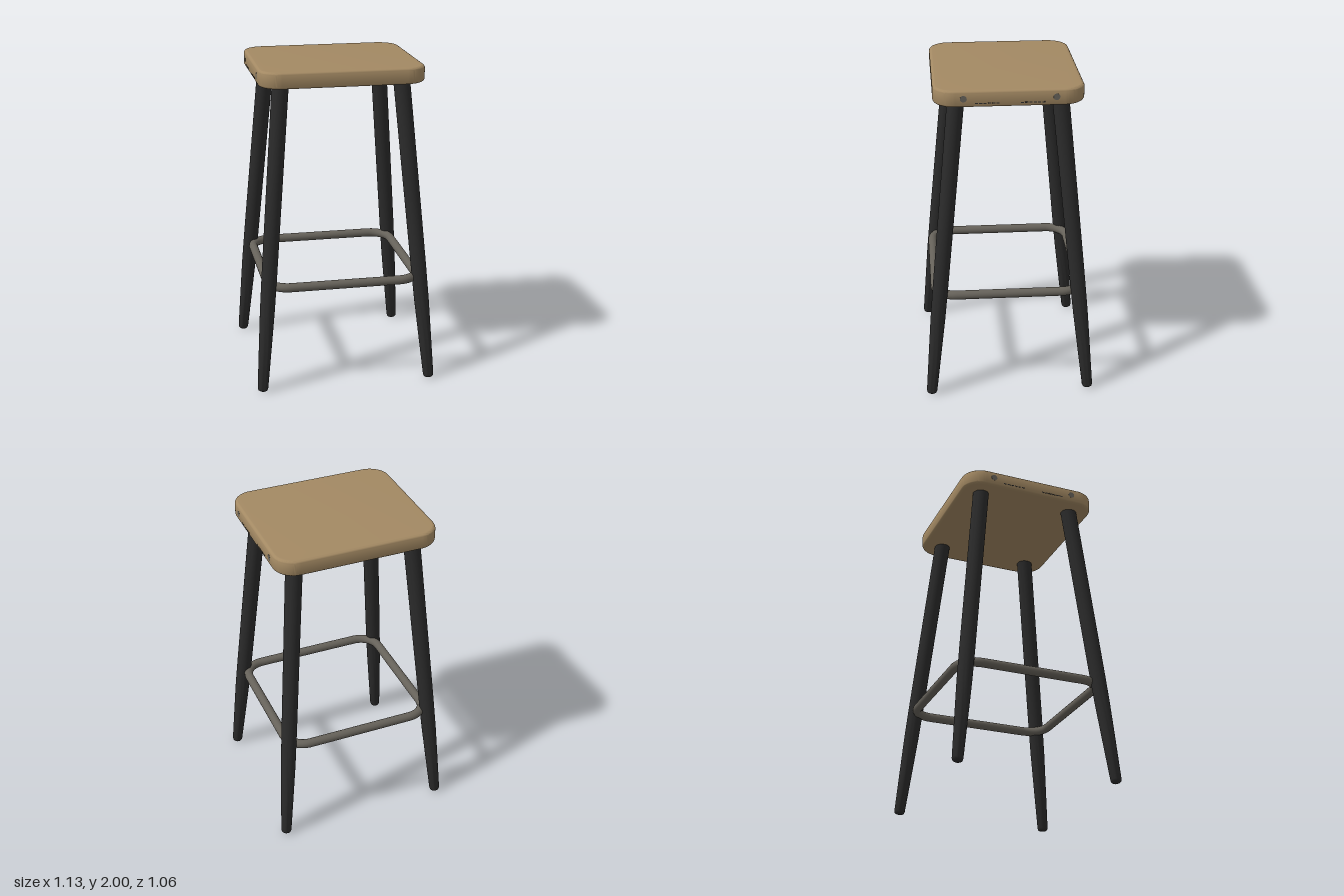
import * as THREE from 'three';
import { toCreasedNormals } from 'three/addons/utils/BufferGeometryUtils.js';

const mat = (name, color) => {
  const m = new THREE.MeshStandardMaterial({ color });
  m.name = name;
  return m;
};

// Rounded rectangle outline with half sizes a, b and corner radius r
function roundedRect(a, b, r) {
  const s = new THREE.Shape();
  s.absarc(a - r, b - r, r, 0, Math.PI / 2);
  s.absarc(-a + r, b - r, r, Math.PI / 2, Math.PI);
  s.absarc(-a + r, -b + r, r, Math.PI, Math.PI * 1.5);
  s.absarc(a - r, -b + r, r, Math.PI * 1.5, Math.PI * 2);
  s.closePath();
  return s;
}

export function createModel() {
  const wood = mat('wood', 0xa38963);
  const black = mat('black', 0x2b2b2b);
  const metal = mat('metal', 0x66625a);
  const group = new THREE.Group();
  const add = (name, geometry, material) => {
    const mesh = new THREE.Mesh(geometry, material);
    mesh.name = name;
    group.add(mesh);
    return mesh;
  };

  // Seat: rounded slab with softened edges
  const bevel = 0.02;
  const seat = new THREE.ExtrudeGeometry(roundedRect(0.507 - bevel, 0.446 - bevel, 0.13 - bevel), {
    depth: 0.1 - 2 * bevel, bevelThickness: bevel, bevelSize: bevel, bevelSegments: 5, curveSegments: 14,
  });
  seat.rotateX(-Math.PI / 2).translate(0, 1.9 + bevel, 0);
  add('seat', toCreasedNormals(seat, 0.7), wood);

  // Splayed legs, tapering towards rounded feet
  const up = new THREE.Vector3(0, 1, 0);
  const profile = [
    [0, 0], [0.02, 0.001], [0.029, 0.007], [0.033, 0.02], [0.04, 0.28],
    [0.046, 0.52], [0.048, 0.75], [0.051, 1.92], [0, 1.92],
  ].map(([x, y]) => new THREE.Vector2(x, y));
  const legGeometry = toCreasedNormals(new THREE.LatheGeometry(profile, 28).toNonIndexed(), 0.8);
  for (const sx of [1, -1]) {
    for (const sz of [1, -1]) {
      const foot = new THREE.Vector3(0.535 * sx, 0.003, 0.498 * sz);
      const top = new THREE.Vector3(0.371 * sx, 1.9, 0.31 * sz);
      const leg = add(`${sz > 0 ? 'front' : 'back'}${sx > 0 ? 'Left' : 'Right'}Leg`, legGeometry, black);
      leg.position.copy(foot);
      leg.quaternion.setFromUnitVectors(up, top.sub(foot).normalize());
    }
  }

  // Footrest: one closed rod with rounded corners
  const path = new THREE.CurvePath();
  const a = 0.472, b = 0.457, r = 0.13;
  const corners = [[a, b], [-a, b], [-a, -b], [a, -b]].map(([x, z]) => new THREE.Vector3(x, 0.665, z));
  corners.forEach((c, i) => {
    const toward = (to) => c.clone().add(to.clone().sub(c).setLength(r));
    const prev = corners[(i + 3) % 4], next = corners[(i + 1) % 4];
    const start = toward(prev), end = toward(next);
    const k = 0.5523;
    path.add(new THREE.CubicBezierCurve3(start, start.clone().lerp(c, k), end.clone().lerp(c, k), end));
    path.add(new THREE.LineCurve3(end, next.clone().add(c.clone().sub(next).setLength(r))));
  });
  add('footrest', new THREE.TubeGeometry(path, 160, 0.028, 16, true), metal);

  // Small worn marks on both side edges of the seat
  for (const side of [1, -1]) {
    for (const end of [1, -1]) {
      const spot = add('edgeSpot', new THREE.CylinderGeometry(0.02, 0.02, 0.004, 14), metal);
      spot.rotation.z = Math.PI / 2;
      spot.scale.y = 1;
      spot.position.set(0.506 * side, 1.953, 0.27 * end);
      for (let i = 0; i < 6; i++) {
        const dash = add('edgeDash', new THREE.BoxGeometry(0.004, 0.006, 0.018), black);
        dash.position.set(0.506 * side, 1.925, end * (0.07 + i * 0.025));
      }
    }
  }
  return group;
}
